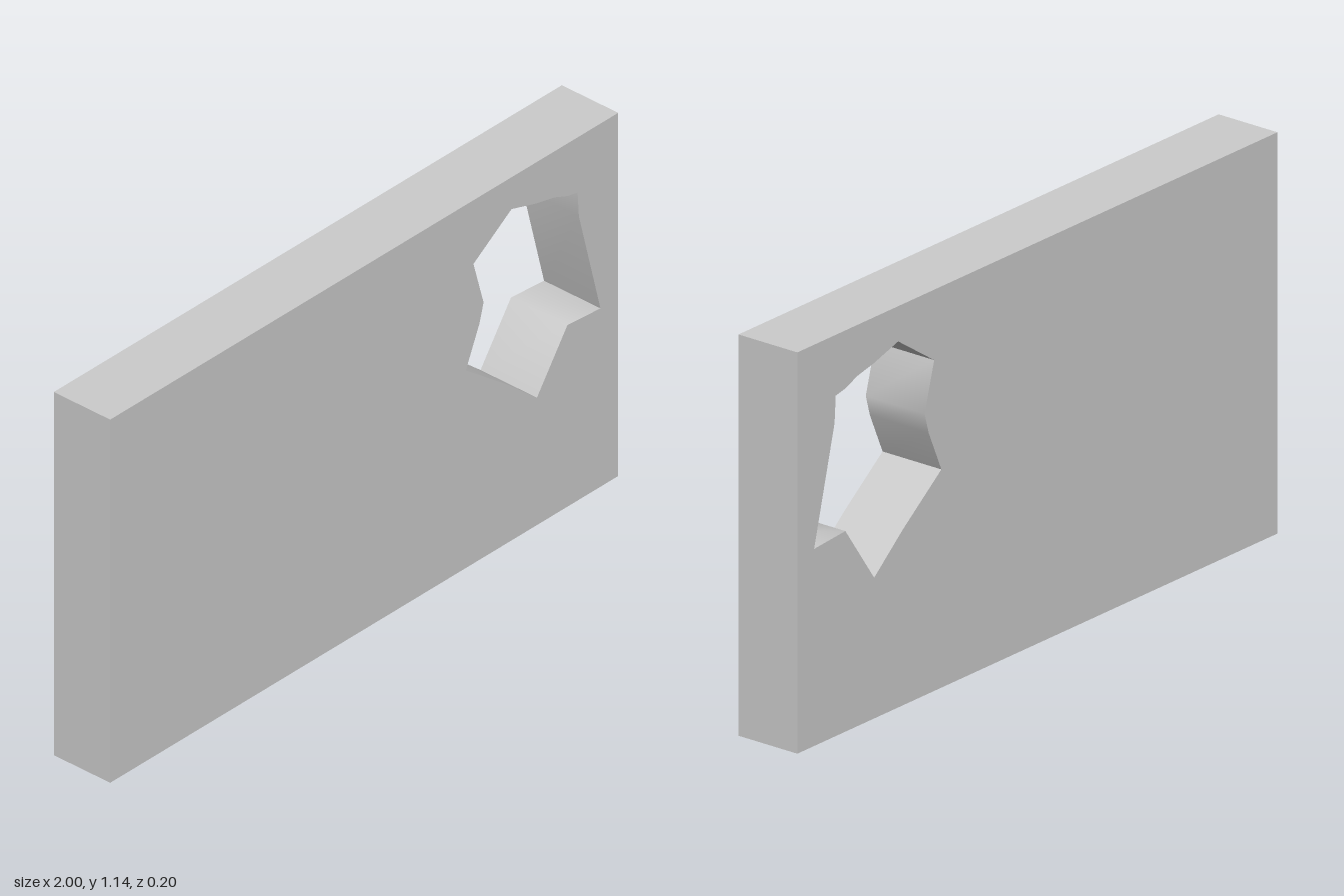
import * as THREE from 'three';
import { toCreasedNormals } from 'three/addons/utils/BufferGeometryUtils.js';

const WIDTH = 2, HEIGHT = 1.14, DEPTH = 0.2;

// Outline of the irregular opening, clockwise from its top
const HOLE = [
  [0.58, 1.04], [0.68, 1.01], [0.75, 0.995], [0.8, 0.975], [0.84, 0.967],
  [0.845, 0.89], [0.93, 0.56], [0.8, 0.57], [0.68, 0.4], [0.56, 0.5],
  [0.4, 0.62], [0.453, 0.74], [0.47, 0.8], [0.43, 0.94],
];

const toPoints = (list) => list.map(([x, y]) => new THREE.Vector2(x, y));

export function createModel() {
  const group = new THREE.Group();
  group.name = 'wallWithHole';

  // Rectangular slab pierced from front to back
  const w = WIDTH / 2;
  const outline = new THREE.Shape(toPoints([[-w, 0], [w, 0], [w, HEIGHT], [-w, HEIGHT]]));
  outline.holes.push(new THREE.Path(toPoints(HOLE)));
  const slab = new THREE.ExtrudeGeometry(outline, { depth: DEPTH, bevelEnabled: false });
  slab.translate(0, 0, -DEPTH / 2);

  // Sharp slab edges, gently shaded walls inside the opening
  const wall = new THREE.Mesh(
    toCreasedNormals(slab, 1.1),
    new THREE.MeshStandardMaterial({ color: 0xcccccc }),
  );
  wall.name = 'wall';
  group.add(wall);
  return group;
}
